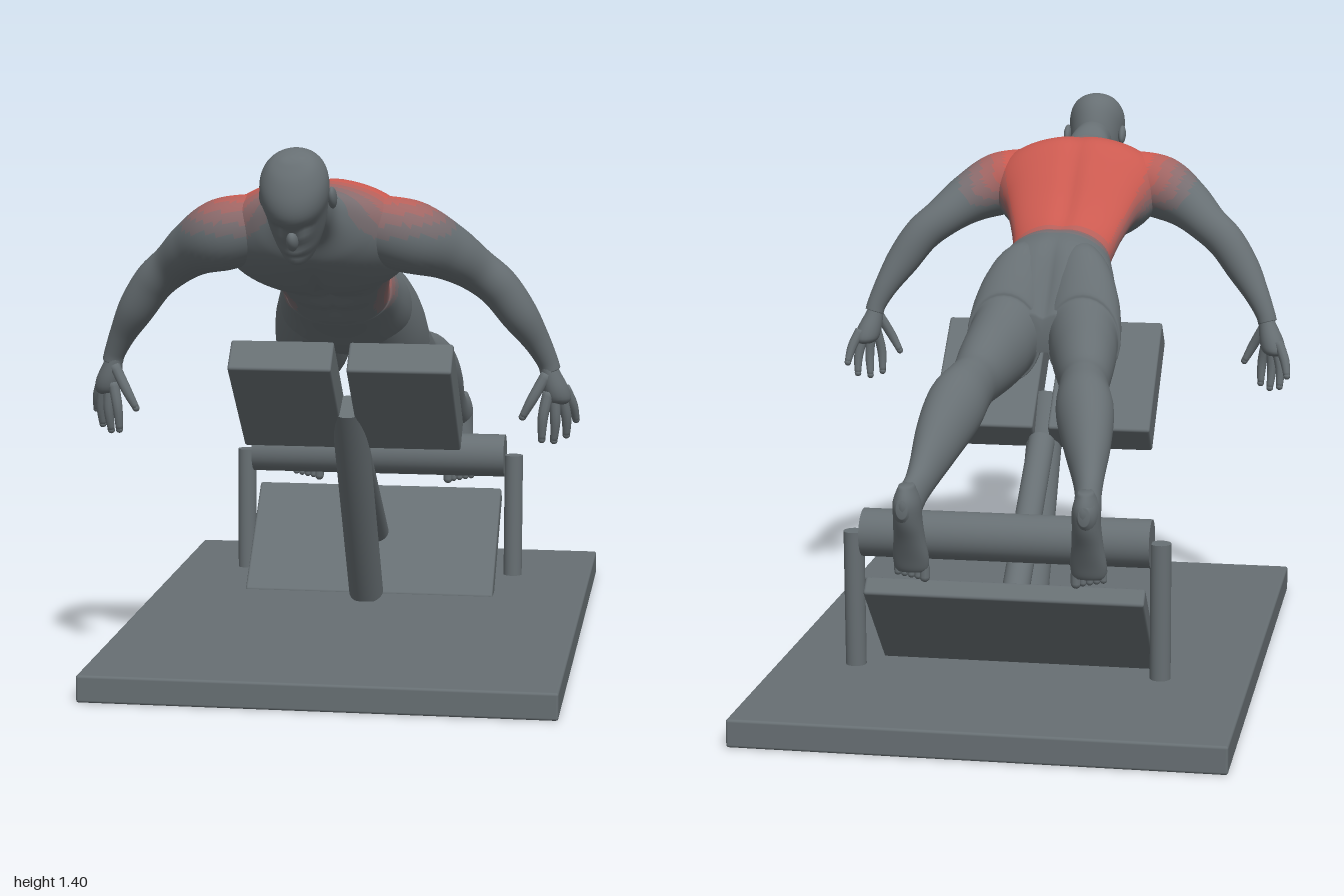
import * as THREE from 'three';
import { RoundedBoxGeometry } from 'three/addons/geometries/RoundedBoxGeometry.js';

const V = (x, y, z) => new THREE.Vector3(x, y, z);
const mat = (name, color) => new THREE.MeshStandardMaterial({ name, color });
const { clamp, lerp } = THREE.MathUtils;

// Catmull-Rom blend of numeric rows, so a few cross-sections give a smooth form
function resample(rows, steps) {
  const out = [];
  for (let i = 0; i <= steps; i++) {
    const t = (i / steps) * (rows.length - 1);
    const k = Math.min(Math.floor(t), rows.length - 2), f = t - k;
    const a = rows[Math.max(k - 1, 0)], b = rows[k], c = rows[k + 1], d = rows[Math.min(k + 2, rows.length - 1)];
    out.push(b.map((_, j) => 0.5 * (2 * b[j] + (c[j] - a[j]) * f + (2 * a[j] - 5 * b[j] + 4 * c[j] - d[j]) * f * f
      + (3 * b[j] - a[j] - 3 * c[j] + d[j]) * f * f * f)));
  }
  return out;
}

// Closed skin through rings; place(row, cos, sin, index, rows) gives each point
function loft(rows, steps, sides, place) {
  const rs = resample(rows, steps), pos = [], idx = [];
  rs.forEach((r, i) => {
    for (let j = 0; j < sides; j++) {
      const a = (j / sides) * Math.PI * 2;
      pos.push(...place(r, Math.cos(a), Math.sin(a), i, rs).toArray());
    }
  });
  for (let i = 0; i < steps; i++) for (let j = 0; j < sides; j++) {
    const a = i * sides + j, b = i * sides + (j + 1) % sides;
    idx.push(a, b, a + sides, b, b + sides, a + sides);
  }
  for (const end of [0, steps]) {
    const mid = V(0, 0, 0), o = end * sides * 3, c = pos.length / 3;
    for (let j = 0; j < sides; j++) mid.add(V(pos[o + j * 3], pos[o + j * 3 + 1], pos[o + j * 3 + 2]));
    pos.push(...mid.divideScalar(sides).toArray());
    for (let j = 0; j < sides; j++) {
      const a = end * sides + j, b = end * sides + (j + 1) % sides;
      idx.push(...(end ? [a, b, c] : [b, a, c]));
    }
  }
  // Turn the skin outward if its signed volume is negative
  const p = (i) => V(pos[i * 3], pos[i * 3 + 1], pos[i * 3 + 2]);
  let vol = 0;
  for (let i = 0; i < idx.length; i += 3) vol += p(idx[i]).dot(p(idx[i + 1]).cross(p(idx[i + 2])));
  if (vol < 0) idx.reverse();
  const g = new THREE.BufferGeometry();
  g.setAttribute('position', new THREE.Float32BufferAttribute(pos, 3));
  g.setIndex(idx);
  g.computeVertexNormals();
  return g;
}

// Round limb along rows of [x, y, z, radius], mirrored by side s
const limb = (rows, s, steps = 24, sides = 20) => loft(rows, steps, sides, (r, c, n, i, rs) => {
  const a = rs[Math.max(i - 1, 0)], b = rs[Math.min(i + 1, rs.length - 1)];
  const d = V(b[0] - a[0], b[1] - a[1], b[2] - a[2]).normalize();
  const u = d.clone().cross(V(0, 0, 1)).normalize(), v = u.clone().cross(d);
  const p = V(r[0], r[1], r[2]).addScaledVector(u, r[3] * c).addScaledVector(v, r[3] * n);
  p.x *= s;
  return p;
});

// Strength of the highlighted back muscles at a point
function highlight(p) {
  const w = 0.11 + 0.28 * clamp(p.z - 0.3, 0, 0.3);
  const top = lerp(1.09, 1.3, clamp((p.z - 0.25) / 0.3, 0, 1));
  const dx = Math.max(0, Math.abs(p.x) - w) / 0.17, dz = Math.max(0, p.z - 0.59, 0.3 - p.z) / 0.12;
  const dy = Math.max(0, top - p.y - 0.06) / 0.1;
  return clamp(1.08 - Math.hypot(dx, dy, dz), 0, 1);
}

// Sort triangles into one group per highlight shade
function paint(g, levels) {
  const src = g.index.array, at = g.attributes.position, buckets = Array.from({ length: levels }, () => []);
  for (let i = 0; i < src.length; i += 3) {
    const c = V(0, 0, 0);
    for (let k = 0; k < 3; k++) c.add(V().fromBufferAttribute(at, src[i + k]));
    buckets[Math.round(highlight(c.divideScalar(3)) * (levels - 1))].push(src[i], src[i + 1], src[i + 2]);
  }
  let start = 0;
  buckets.forEach((b, i) => { g.addGroup(start, b.length, i); start += b.length; });
  g.setIndex(buckets.flat());
  return g;
}

export function createModel() {
  const model = new THREE.Group();
  const grey = mat('slate grey', 0x676f73);
  const shades = [grey, mat('faint rose', 0x776d70), mat('dusty rose', 0x8b6a6b), mat('muted red', 0xa06563),
    mat('soft red', 0xb65f59), mat('muscle red', 0xcb5a50)];
  const add = (name, geo, m = grey, parent = model) => {
    const mesh = new THREE.Mesh(geo, m);
    mesh.name = name;
    parent.add(mesh);
    return mesh;
  };
  const box = (name, size, at, tilt = 0) => {
    const m = add(name, new RoundedBoxGeometry(...size, 2, 0.007));
    m.position.set(...at);
    m.rotation.x = tilt;
  };
  const rod = (name, a, b, r) => {
    const d = b.clone().sub(a), m = add(name, new THREE.CylinderGeometry(r, r, d.length(), 32));
    m.position.copy(a).addScaledVector(d, 0.5);
    m.quaternion.setFromUnitVectors(V(0, 1, 0), d.normalize());
  };

  // Bench
  box('basePlate', [1.2, 0.07, 1.65], [0, 0.035, -0.175]);
  box('footPlate', [0.7, 0.37, 0.05], [-0.004, 0.183, -0.498], -Math.PI / 4);
  rod('frontPost', V(0, 0.09, -0.286), V(0, 0.665, 0.056), 0.047);
  rod('rearStrut', V(0, 0.567, -0.048), V(0, 0.19, -0.53), 0.035);
  rod('ankleRoller', V(-0.363, 0.433, -0.567), V(0.36, 0.433, -0.567), 0.06);
  for (const s of [-1, 1]) {
    box('hipPad', [0.27, 0.354, 0.094], [s * 0.155, 0.698, 0.081], 0.803);
    rod('rollerUpright', V(s * 0.385, 0.09, -0.56), V(s * 0.385, 0.435, -0.567), 0.026);
  }

  const man = new THREE.Group();
  man.name = 'athlete';
  model.add(man);
  const body = (name, geo, m) => add(name, geo, m, man);
  const bump = (x, w) => Math.exp(-((x / w) ** 2));

  // Torso and neck: [z, top, bottom, half width]
  const torso = loft([
    [0.83, 1.33, 1.2, 0.055], [0.77, 1.322, 1.185, 0.06], [0.72, 1.3, 1.16, 0.078], [0.685, 1.295, 1.11, 0.14],
    [0.64, 1.3, 1.07, 0.2], [0.58, 1.308, 1.03, 0.235], [0.52, 1.297, 1.013, 0.225], [0.45, 1.238, 1.015, 0.187],
    [0.38, 1.168, 0.99, 0.16], [0.32, 1.12, 0.955, 0.143], [0.25, 1.09, 0.91, 0.133], [0.235, 1.094, 0.9, 0.14],
    [0.18, 1.092, 0.87, 0.153], [0.1, 1.065, 0.82, 0.172], [0.03, 0.99, 0.8, 0.165], [-0.03, 0.9, 0.8, 0.11],
  ], 110, 72, (r, c, n) => {
    const [z, top, bot, w] = r, x = w * c;
    let y = (top + bot) / 2 + (top - bot) / 2 * Math.sign(n) * Math.abs(n) ** 0.9;
    if (n > 0) { // spine furrow and seat cleft
      y -= n * (0.016 * bump(x, 0.025) * bump(z - 0.42, 0.16) + 0.025 * bump(x, 0.018) * bump(z - 0.03, 0.08));
    } else { // chest cleft and stomach ridges
      y -= n * 0.02 * bump(x, 0.022) * bump(z - 0.55, 0.09);
      y -= n * 0.006 * (1 + Math.sin(z * 90)) * bump(x, 0.08) * bump(z - 0.36, 0.08);
      y -= n * 0.008 * bump(x, 0.01) * bump(z - 0.36, 0.09);
    }
    return V(x, y, z);
  });
  body('torso', paint(torso, shades.length), shades);

  // Head: rows of [height along head, face, back, half width] on tilted axes
  const up = V(0, 0.74, 0.67), face = V(0, -0.67, 0.74);
  const onHead = (x, s, f) => V(x, 1.27, 0.9).addScaledVector(up, s).addScaledVector(face, f);
  body('head', loft([
    [-0.122, 0.07, 0.01, 0.02], [-0.112, 0.086, -0.03, 0.038], [-0.085, 0.09, -0.075, 0.054], [-0.05, 0.087, -0.1, 0.066],
    [0, 0.088, -0.118, 0.074], [0.04, 0.09, -0.122, 0.08], [0.075, 0.07, -0.11, 0.075], [0.105, 0.032, -0.078, 0.055],
    [0.12, -0.005, -0.045, 0.028], [0.123, -0.02, -0.03, 0.008],
  ], 40, 48, ([s, f, b, w], c, n) => {
    const x = w * c, front = n > 0 ? n : 0;
    const eyes = 0.013 * bump(Math.abs(x) - 0.03, 0.018) * bump(s + 0.002, 0.013);
    const lips = 0.006 * bump(x, 0.03) * (bump(s + 0.068, 0.01) - bump(s + 0.085, 0.008));
    return onHead(x, s, (f + b) / 2 + (f - b) / 2 * n + front * (lips - eyes));
  }));
  const ball = (name, at, scale) => {
    const m = body(name, new THREE.SphereGeometry(1, 20, 14));
    m.position.copy(at);
    m.scale.set(...scale);
    m.rotation.x = 0.735;
  };
  ball('nose', onHead(0, -0.025, 0.092), [0.014, 0.026, 0.018]);

  for (const s of [-1, 1]) {
    ball('ear', onHead(s * 0.08, -0.012, -0.035), [0.011, 0.03, 0.02]);

    // Arm and hand
    const arm = limb([[0.14, 1.19, 0.59, 0.08], [0.23, 1.168, 0.585, 0.088], [0.31, 1.13, 0.535, 0.07],
      [0.375, 1.082, 0.485, 0.055], [0.43, 1.035, 0.46, 0.051], [0.48, 0.965, 0.44, 0.046], [0.52, 0.9, 0.415, 0.034],
      [0.545, 0.85, 0.4, 0.027], [0.553, 0.825, 0.395, 0.026]], s, 56, 40);
    body('arm', paint(arm, shades.length), shades);
    body('palm', loft([[0.85, 0.545, 0.4, 0.024], [0.82, 0.553, 0.395, 0.032], [0.78, 0.565, 0.385, 0.043],
      [0.75, 0.572, 0.377, 0.042], [0.738, 0.575, 0.374, 0.025]], 14, 20,
    ([y, x, z, w], c, n) => V(s * (x + 0.68 * w * c + 0.35 * w * n), y, z - w * 0.8 * n + 0.3 * w * c)));
    const fingers = [
      [[0.55, 0.77, 0.405], [0.538, 0.71, 0.415], [0.535, 0.652, 0.41]], [[0.563, 0.765, 0.39], [0.567, 0.7, 0.39], [0.563, 0.645, 0.38]],
      [[0.578, 0.765, 0.373], [0.592, 0.705, 0.362], [0.592, 0.655, 0.35]], [[0.587, 0.775, 0.36], [0.606, 0.73, 0.34], [0.614, 0.69, 0.322]],
      [[0.545, 0.815, 0.41], [0.512, 0.755, 0.425], [0.488, 0.71, 0.425]],
    ];
    fingers.forEach(([a, b, c], i) => {
      body(i < 4 ? 'finger' : 'thumb', limb([[...a, 0.014], [...b, 0.013], [...c, 0.009]], s, 8, 10));
      const tip = body('fingertip', new THREE.SphereGeometry(0.0095, 10, 8));
      tip.position.set(s * c[0], c[1], c[2]);
    });

    // Leg: [z, x, top, bottom, half width], with the shorts hem as a small step
    body('leg', loft([
      [0.16, 0.075, 1.07, 0.9, 0.06], [0.1, 0.083, 1.063, 0.83, 0.088], [0.04, 0.096, 1.02, 0.765, 0.1],
      [-0.015, 0.104, 0.963, 0.716, 0.101], [-0.026, 0.106, 0.942, 0.72, 0.092], [-0.08, 0.116, 0.912, 0.705, 0.087],
      [-0.15, 0.128, 0.88, 0.695, 0.077], [-0.235, 0.142, 0.836, 0.685, 0.064], [-0.3, 0.152, 0.824, 0.665, 0.067],
      [-0.38, 0.167, 0.803, 0.625, 0.074], [-0.476, 0.187, 0.738, 0.58, 0.06], [-0.56, 0.203, 0.662, 0.54, 0.041],
      [-0.62, 0.213, 0.612, 0.515, 0.033], [-0.68, 0.22, 0.59, 0.49, 0.034], [-0.725, 0.222, 0.583, 0.49, 0.028],
      [-0.75, 0.222, 0.56, 0.515, 0.014],
    ], 80, 32, ([z, x, t, b, w], c, n) => V(s * (x + w * c), (t + b) / 2 + (t - b) / 2 * n, z)));

    // Foot: [y, front z, back z, half width]
    body('foot', loft([[0.59, -0.67, -0.735, 0.018], [0.55, -0.645, -0.752, 0.033], [0.5, -0.64, -0.74, 0.035],
      [0.45, -0.638, -0.712, 0.039], [0.4, -0.632, -0.686, 0.045], [0.37, -0.63, -0.672, 0.042], [0.36, -0.635, -0.665, 0.034]],
    24, 24, ([y, f, b, w], c, n) => V(s * (0.22 + w * c), y, (f + b) / 2 + (f - b) / 2 * n)));
    for (let i = 0; i < 5; i++) {
      const r = i ? 0.0095 : 0.013, toe = body('toe', new THREE.CapsuleGeometry(r, 0.025, 4, 10));
      toe.position.set(s * (0.188 + i * 0.0168), 0.359 + i * 0.003, -0.648);
    }
  }
  return model;
}
